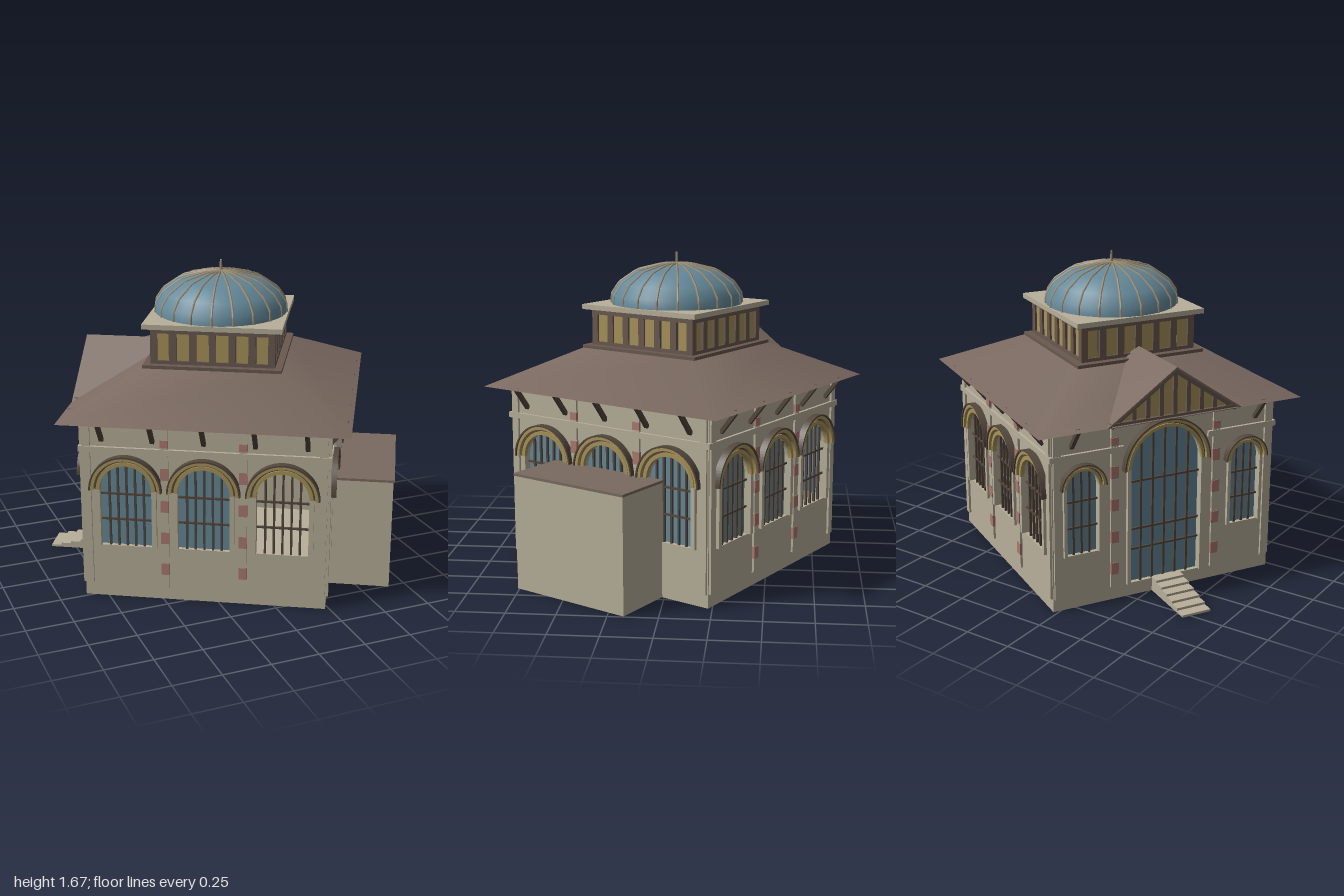
import * as THREE from 'three';

const mat = (name, color, double) => {
  const m = new THREE.MeshStandardMaterial({ color });
  m.name = name;
  if (double) m.side = THREE.DoubleSide;
  return m;
};
const M = {
  wall: mat('cream stone', 0xb8b09b),
  roof: mat('brown roof', 0x7b6a61, true),
  wood: mat('dark wood', 0x54483d),
  gold: mat('gold', 0xa8935a),
  glass: mat('blue glass', 0x64899a, true),
  brick: mat('red brick', 0xab7a70),
  rib: mat('dome rib', 0x9c8e75),
  lantern: mat('lantern brown', 0x6a5950),
};

const W = 0.626;      // half width of the walls
const EAVE = 0.732;   // half width of the roof
const WALL_T = 0.03;

function add(parent, name, geometry, material, x = 0, y = 0, z = 0) {
  const mesh = new THREE.Mesh(geometry, material);
  mesh.name = name;
  mesh.position.set(x, y, z);
  parent.add(mesh);
  return mesh;
}
// Box given by its centre x, bottom y and centre z
const box = (p, name, m, w, h, d, x, y, z) =>
  add(p, name, new THREE.BoxGeometry(w, h, d), m, x, y + h / 2, z);
const extrude = (shape, depth) =>
  new THREE.ExtrudeGeometry(shape, { depth, bevelEnabled: false, curveSegments: 20 });

// Round-headed outline
function archOutline(target, x, sill, spring, r) {
  target.moveTo(x - r, sill);
  target.lineTo(x + r, sill);
  target.lineTo(x + r, spring);
  target.absarc(x, spring, r, 0, Math.PI, false);
  target.lineTo(x - r, sill);
  return target;
}
function halfRing(r0, r1, depth) {
  const s = new THREE.Shape();
  s.moveTo(r1, 0);
  s.absarc(0, 0, r1, 0, Math.PI, false);
  s.lineTo(-r0, 0);
  s.absarc(0, 0, r0, Math.PI, 0, true);
  return extrude(s, depth);
}

// Window dressing: glass, bars, jambs and stepped arch moulding
function dressWindow(side, o) {
  const g = new THREE.Group();
  g.name = o.door ? 'door' : 'window';
  side.add(g);
  const { x, sill, spring, r, out, bars, rails } = o;
  if (!o.open) {
    const pane = new THREE.ShapeGeometry(archOutline(new THREE.Shape(), x, sill, spring, r), 20);
    add(g, 'pane', pane, M.glass, 0, 0, W - 0.022);
  }
  for (let i = 1; i <= bars; i++) {
    const bx = -r + (2 * r * i) / (bars + 1);
    const h = spring + Math.sqrt(r * r - bx * bx) - sill;
    box(g, 'verticalBar', M.wood, 0.011, h, 0.012, x + bx, sill, W - 0.012);
  }
  for (const y of rails) box(g, 'crossBar', M.wood, 2 * r, 0.01, 0.01, x, y, W - 0.012);
  const t = out - r;
  for (const s of [-1, 1])
    box(g, 'jamb', M.wall, t * 0.45, spring - sill, 0.02, x + s * (r + t * 0.225), sill, W + 0.008);
  const rings = [[0, 0.36, 0.02, M.gold], [0.36, 0.55, 0.012, M.wood], [0.55, 0.85, 0.03, M.gold], [0.85, 1, 0.038, M.wood]];
  for (const [a, b, d, m] of rings)
    add(g, 'archMoulding', halfRing(r + a * t, r + b * t, d + 0.005), m, x, spring, W - 0.005);
}

function pilaster(side, x, banded) {
  box(side, 'pilaster', M.wall, 0.04, 0.88, 0.024, x, 0.07, W);
  if (!banded) return;
  for (let i = 0; i < 5; i++)
    box(side, 'brickBand', M.brick, 0.042, i === 4 ? 0.04 : 0.064, 0.03, x, 0.145 + i * 0.175, W);
}

function buildSide(root, k) {
  const isDoor = k === 3;
  const side = new THREE.Group();
  side.name = ['frontSide', 'leftSide', 'backSide', 'entranceSide'][k];
  side.rotation.y = (k * Math.PI) / 2;
  root.add(side);

  const std = { sill: 0.29, spring: 0.605, r: 0.133, out: 0.188, bars: 5, rails: [0.43, 0.57] };
  const slim = { sill: 0.29, spring: 0.655, r: 0.087, out: 0.124, bars: 3, rails: [0.43, 0.57] };
  const openings = isDoor
    ? [{ ...slim, x: -0.465 }, { ...slim, x: 0.465 },
       { x: 0, sill: 0.07, spring: 0.7, r: 0.2, out: 0.245, bars: 5, rails: [0.25, 0.36, 0.62], door: true }]
    : [-0.4, 0, 0.4].map((x) => ({ ...std, x, open: x > 0.1 && k !== 1 }));

  // Wall with its openings
  const wall = new THREE.Shape([[-W, 0], [W, 0], [W, 1.02], [-W, 1.02]].map((p) => new THREE.Vector2(...p)));
  for (const o of openings) wall.holes.push(archOutline(new THREE.Path(), o.x, o.sill, o.spring, o.r));
  add(side, 'wall', extrude(wall, WALL_T), M.wall, 0, 0, W - WALL_T);
  openings.forEach((o) => dressWindow(side, o));

  const inner = isDoor ? 0.29 : 0.2;
  for (const s of [-1, 1]) {
    pilaster(side, s * 0.6, false);
    pilaster(side, s * inner, true);
  }

  // String course, broken by the door arch
  if (isDoor) for (const s of [-1, 1]) box(side, 'stringCourse', M.wall, 0.4, 0.03, 0.03, s * 0.44, 0.805, W);
  else box(side, 'stringCourse', M.wall, 2 * W + 0.03, 0.03, 0.03, 0, 0.805, W);

  // Slanted eave brackets
  for (const x of isDoor ? [-0.52, 0.52] : [-0.52, -0.26, 0, 0.26, 0.52]) {
    const b = add(side, 'eaveBracket', new THREE.BoxGeometry(0.022, 0.145, 0.02), M.wood, x, 0.925, W + 0.045);
    b.rotation.x = 0.66;
  }
  return side;
}

function buildEntrance(side) {
  // Gabled roof over the door
  const pts = [[-0.375, 0.975], [-0.357, 0.975], [0, 1.222], [0.357, 0.975], [0.375, 0.975], [0, 1.235]];
  const chevron = new THREE.Shape(pts.map((p) => new THREE.Vector2(...p)));
  add(side, 'gableRoof', extrude(chevron, EAVE - 0.31), M.roof, 0, 0, 0.31);
  const tri = new THREE.Shape([[-0.357, 0.975], [0.357, 0.975], [0, 1.222]].map((p) => new THREE.Vector2(...p)));
  add(side, 'gablePanel', extrude(tri, 0.008), M.gold, 0, 0, 0.7);
  box(side, 'gableSill', M.lantern, 0.71, 0.022, 0.035, 0, 0.97, 0.708);
  for (let i = -4; i <= 4; i++) {
    const x = i * 0.075;
    box(side, 'gableMullion', M.lantern, 0.022, 0.24 * (1 - Math.abs(x) / 0.357), 0.025, x, 0.977, 0.708);
  }
  for (const s of [-1, 1]) {
    const rake = add(side, 'gableRake', new THREE.BoxGeometry(0.42, 0.022, 0.025), M.lantern, s * 0.176, 1.09, 0.708);
    rake.rotation.z = -s * Math.atan2(0.247, 0.357);
  }
  // Steps
  for (let i = 0; i < 6; i++)
    box(side, 'step', M.wall, 0.16, 0.012 + i * 0.013, 0.056, 0.01, 0, 0.93 - i * 0.056);
}

function buildLantern(root) {
  const g = new THREE.Group();
  g.name = 'lantern';
  root.add(g);
  box(g, 'lanternBase', M.lantern, 0.718, 0.018, 0.718, 0, 1.167, 0);
  box(g, 'lanternCore', M.lantern, 0.61, 0.195, 0.61, 0, 1.182, 0);
  box(g, 'lanternCornice', M.wall, 0.718, 0.026, 0.718, 0, 1.375, 0);
  for (let k = 0; k < 4; k++) {
    const s = new THREE.Group();
    s.name = 'lanternSide';
    s.rotation.y = (k * Math.PI) / 2;
    g.add(s);
    for (let i = 0; i < 6; i++)
      box(s, 'lanternPane', M.gold, 0.07, 0.145, 0.008, (i - 2.5) * 0.105, 1.202, 0.307);
    for (let i = 0; i < 7; i++)
      box(s, 'lanternMullion', M.lantern, 0.036, 0.195, 0.03, (i - 3) * 0.1013, 1.182, 0.307);
    box(s, 'lanternTopRail', M.lantern, 0.644, 0.03, 0.03, 0, 1.347, 0.307);
    box(s, 'lanternBottomRail', M.lantern, 0.644, 0.02, 0.03, 0, 1.183, 0.307);
  }
}

function buildDome(root) {
  const g = new THREE.Group();
  g.name = 'dome';
  root.add(g);
  const profile = [[0.35, 1.395], [0.346, 1.45], [0.306, 1.51], [0.217, 1.571], [0.085, 1.604], [0, 1.609]];
  add(g, 'domeShell', new THREE.LatheGeometry(profile.map((p) => new THREE.Vector2(...p)), 40), M.glass);
  // Ribs follow the shell profile
  const path = new THREE.CurvePath();
  for (let i = 0; i < profile.length - 1; i++) {
    const [a, b] = [profile[i], profile[i + 1]].map(([r, y]) => new THREE.Vector3(r, y + 0.001, 0));
    path.add(new THREE.LineCurve3(a, b));
  }
  const ribGeometry = new THREE.TubeGeometry(path, 24, 0.0065, 5);
  for (let i = 0; i < 20; i++)
    add(g, 'domeRib', ribGeometry, M.rib).rotation.y = (i * Math.PI) / 10;
  add(g, 'finial', new THREE.CylinderGeometry(0.006, 0.008, 0.07, 8), M.rib, 0, 1.635, 0);
}

export function createModel() {
  const model = new THREE.Group();
  model.name = 'domedPavilion';
  const root = new THREE.Group();
  root.name = 'building';
  root.rotation.y = -Math.PI / 6;
  model.add(root);

  box(root, 'floor', M.wall, 2 * W - 0.01, 0.01, 2 * W - 0.01, 0, 0, 0);
  const sides = [0, 1, 2, 3].map((k) => buildSide(root, k));
  buildEntrance(sides[3]);

  // Hipped main roof, softly shaded across the hips
  const hip = new THREE.CylinderGeometry(0.35 * Math.SQRT2, EAVE * Math.SQRT2, 0.198, 4, 1, true);
  add(root, 'mainRoof', hip.rotateY(Math.PI / 4), M.roof, 0, 1.074, 0);

  // Flat-roofed annex
  box(root, 'annex', M.wall, 0.33, 0.6, 0.68, 0.781, 0, -0.01);
  box(root, 'annexRoof', M.roof, 0.33, 0.013, 0.692, 0.787, 0.598, -0.01);

  buildLantern(root);
  buildDome(root);
  return model;
}
